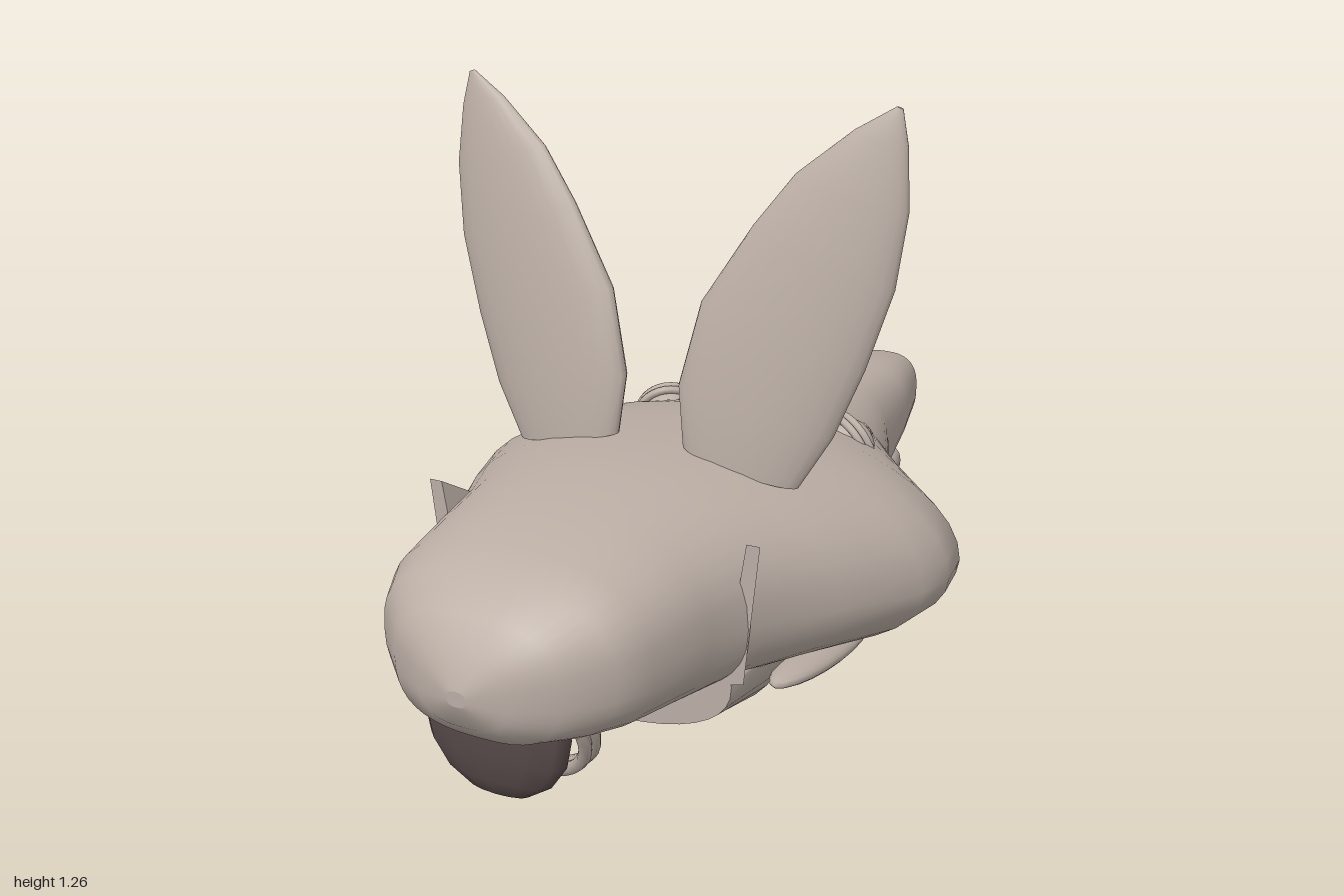
import * as THREE from 'three';
import { ConvexGeometry } from 'three/addons/geometries/ConvexGeometry.js';

const hide = new THREE.MeshStandardMaterial({ name: 'taupe hide', color: 0xbbaea5 });
const dark = new THREE.MeshStandardMaterial({ name: 'dark brown', color: 0x574a49 });
const V = (x, y, z) => new THREE.Vector3(x, y, z);

// Skin a list of rings (equal point counts) and close both ends
function skin(rings) {
  const pos = [], idx = [], n = rings[0].length;
  rings.forEach(r => r.forEach(p => pos.push(p.x, p.y, p.z)));
  for (let i = 0; i < rings.length - 1; i++) {
    for (let j = 0; j < n; j++) {
      const a = i * n + j, b = i * n + (j + 1) % n;
      idx.push(a, b, a + n, b, b + n, a + n);
    }
  }
  [rings[0], rings[rings.length - 1]].forEach((ring, end) => {
    const c = pos.length / 3, mid = V(0, 0, 0);
    ring.forEach(p => mid.addScaledVector(p, 1 / n));
    [mid, ...ring].forEach(p => pos.push(p.x, p.y, p.z));
    for (let j = 0; j < n; j++) {
      const a = c + 1 + j, b = c + 1 + (j + 1) % n;
      if (end) idx.push(c, a, b); else idx.push(c, b, a);
    }
  });
  const g = new THREE.BufferGeometry();
  g.setAttribute('position', new THREE.Float32BufferAttribute(pos, 3));
  g.setIndex(idx);
  g.computeVertexNormals();
  return g;
}

// Rounded cross-section (z, half width, top, widest height, bottom), squarer towards both ends
function section([z, w, top, mid, bot]) {
  const ring = [], k = 1.95 + 0.75 * Math.abs(z);
  for (let j = 0; j < 40; j++) {
    const a = j / 40 * Math.PI * 2, c = Math.cos(a), s = Math.sin(a);
    const x = Math.sign(c) * Math.abs(c) ** (2 / k) * w;
    const h = Math.abs(s) ** (2 / k);
    ring.push(V(x, s > 0 ? mid + (top - mid) * h : mid - (mid - bot) * h, z));
  }
  return ring;
}

// Mirror a geometry across x and turn its faces back outwards
function mirror(geo) {
  const g = geo.clone();
  g.scale(-1, 1, 1);
  if (!g.index) g.setIndex([...Array(g.attributes.position.count).keys()]);
  const ix = g.index.array;
  for (let i = 0; i < ix.length; i += 3) [ix[i], ix[i + 1]] = [ix[i + 1], ix[i]];
  return g;
}

export function createModel() {
  const model = new THREE.Group();
  model.name = 'animalHead';
  const add = (name, geo, mat) => {
    const m = new THREE.Mesh(geo, mat);
    m.name = name;
    model.add(m);
  };
  const pair = (name, geo, mat) => {
    add('left' + name, geo, mat);
    add('right' + name, mirror(geo), mat);
  };

  // Skull, cheeks and long snout
  add('head', skin([
    [-1, 0.04, 0.34, 0.3, 0.27],
    [-0.97, 0.088, 0.388, 0.3, 0.2],
    [-0.8, 0.128, 0.41, 0.28, 0.18],
    [-0.6, 0.16, 0.432, 0.26, 0.12],
    [-0.4, 0.245, 0.445, 0.26, 0.085],
    [-0.24, 0.375, 0.478, 0.26, 0.075],
    [-0.05, 0.545, 0.522, 0.27, 0.068],
    [0.05, 0.558, 0.535, 0.27, 0.068],
    [0.15, 0.54, 0.55, 0.275, 0.08],
    [0.35, 0.44, 0.566, 0.3, 0.12],
    [0.5, 0.36, 0.562, 0.32, 0.14],
    [0.65, 0.315, 0.55, 0.34, 0.15],
    [0.8, 0.285, 0.525, 0.34, 0.18],
    [0.87, 0.25, 0.495, 0.34, 0.195],
    [0.94, 0.175, 0.45, 0.33, 0.21],
    [0.98, 0.095, 0.395, 0.32, 0.25],
    [1, 0.02, 0.33, 0.315, 0.3],
  ].map(section)), hide);

  // Lower jaw deepening into the throat, cut flat behind
  add('lowerJaw', skin([
    [-0.855, 0.06, 0.165, 0.13, 0.1],
    [-0.84, 0.1, 0.19, 0.14, 0.09],
    [-0.6, 0.16, 0.19, 0.14, 0.08],
    [0, 0.29, 0.22, 0.19, 0.055],
    [0.15, 0.31, 0.23, 0.2, 0.035],
    [0.27, 0.32, 0.23, 0.2, 0.008],
    [0.35, 0.32, 0.23, 0.2, 0],
    [0.55, 0.31, 0.23, 0.2, 0.07],
  ].map(section)), hide);

  // Folds under the cheeks
  const fold = new THREE.SphereGeometry(1, 20, 12);
  fold.scale(0.05, 0.024, 0.23).rotateX(-0.13).translate(0.34, 0.12, 0.2);
  pair('CheekFold', fold, hide);

  // Angular tips at the rear corners of the jaw
  pair('JawTip', new ConvexGeometry([
    V(0.29, 0.2, 0.55), V(0.335, 0.21, 0.55), V(0.35, 0.4, 0.55),
    V(0.368, 0.5, 0.55), V(0.34, 0.5, 0.55), V(0.32, 0.45, 0.47),
  ]), hide);

  // Tall leaf-shaped ears: inner x, y, outer x, y, half thickness
  const ear = [
    [0.075, 0.565, 0.32, 0.51, 0.038],
    [0.06, 0.69, 0.385, 0.62, 0.046],
    [0.1, 0.86, 0.44, 0.76, 0.044],
    [0.2, 1.02, 0.488, 0.92, 0.039],
    [0.28, 1.125, 0.505, 1.07, 0.03],
    [0.39, 1.215, 0.495, 1.19, 0.018],
    [0.468, 1.262, 0.48, 1.258, 0.004],
  ].map(([xi, yi, xo, yo, t]) => {
    const ring = [];
    for (let j = 0; j < 24; j++) {
      const a = j / 24 * Math.PI * 2, u = (1 + Math.cos(a)) / 2;
      const x = xi + (xo - xi) * u, y = yi + (yo - yi) * u;
      const z = 0.315 - (y - 0.5) * 0.1 - x * 0.1;
      ring.push(V(x, y, z - t * Math.sin(a)));
    }
    return ring;
  });
  pair('Ear', skin(ear), hide);

  // Eyes: ball, dark iris and ringed lids, all aimed along the gaze
  const gaze = V(0.5, 0.35, -0.8).normalize();
  const aim = new THREE.Quaternion().setFromUnitVectors(V(0, 1, 0), gaze);
  const place = g => g.applyQuaternion(aim).translate(0.22, 0.422, -0.18);
  pair('Eyeball', place(new THREE.SphereGeometry(0.068, 24, 16)), hide);
  pair('Iris', place(new THREE.SphereGeometry(0.071, 20, 6, 0, Math.PI * 2, 0, 0.6)), dark);
  [[0.074, 0.008], [0.07, 0.026]].forEach(([r, lift], i) => {
    const lid = new THREE.TorusGeometry(r, 0.009, 8, 32);
    pair(i ? 'InnerLid' : 'OuterLid', place(lid.rotateX(Math.PI / 2).translate(0, lift, 0)), hide);
  });

  // Arched nose marking
  const nose = new THREE.TorusGeometry(0.043, 0.012, 8, 20, Math.PI);
  add('nose', nose.scale(1, 0.9, 0.8).translate(0, 0.305, -0.99), dark);

  // Small fangs
  const fang = new THREE.ConeGeometry(0.011, 0.04, 8);
  pair('Fang', fang.rotateX(Math.PI).translate(0.162, 0.105, -0.64), hide);

  // Dark lens and tilted collar below the back of the skull
  const lens = new THREE.SphereGeometry(1, 12, 8);
  lens.scale(0.16, 0.155, 0.042).translate(0, 0.215, 0.88);
  add('neckLens', lens, dark);
  [[0.172, 0], [0.165, 0.022]].forEach(([r, dz], i) => {
    const ring = new THREE.TorusGeometry(r, 0.013, 8, 36);
    add(i ? 'innerCollar' : 'outerCollar', ring.translate(0, 0, dz).rotateX(0.48).translate(0, 0.225, 0.835), hide);
  });

  return model;
}
